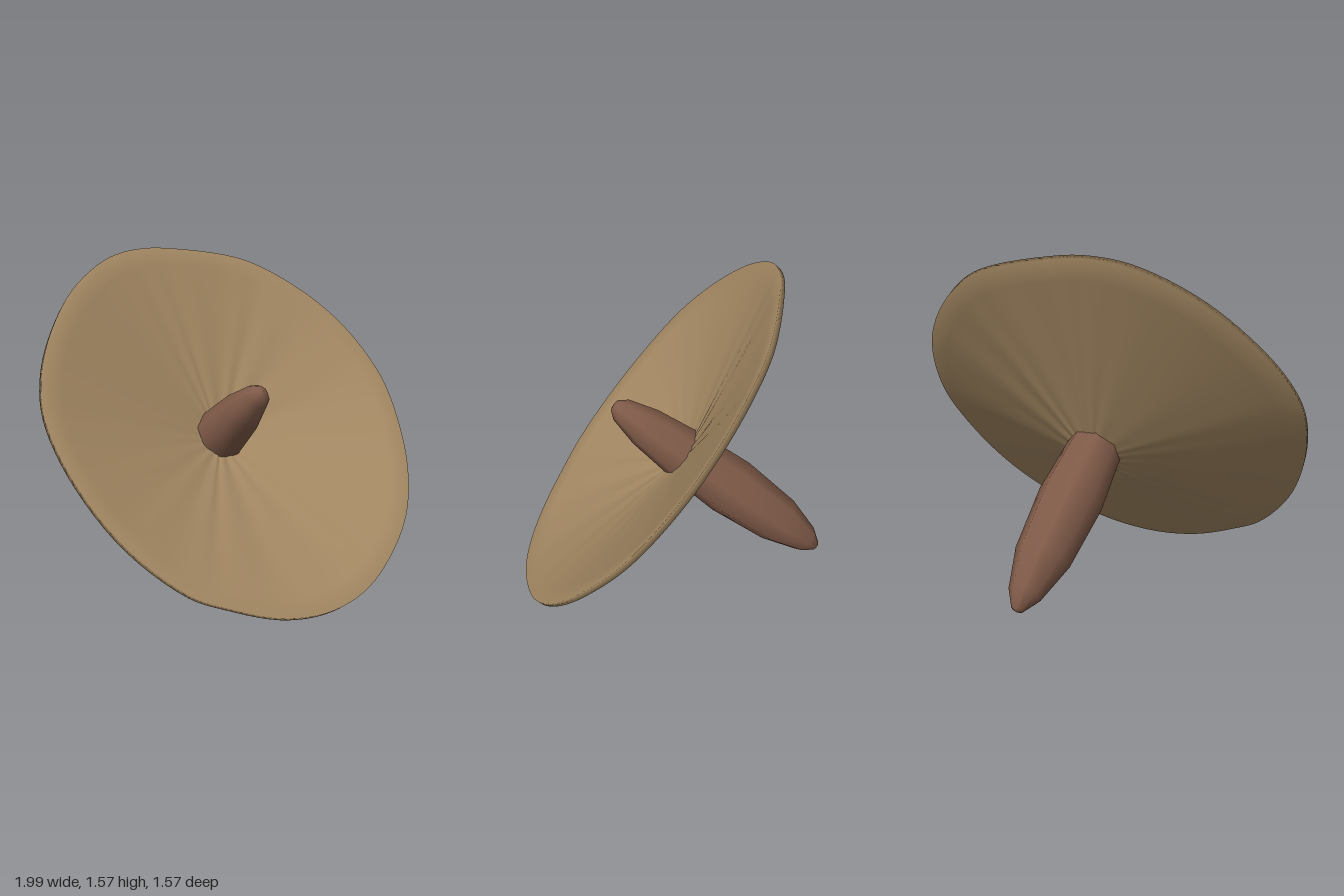
import * as THREE from 'three';

const tan = new THREE.MeshStandardMaterial({ color: 0xa68a64 });
tan.name = 'tan';
const brown = new THREE.MeshStandardMaterial({ color: 0x7f5a48 });
brown.name = 'brown';

// Uneven outline of the dish, clockwise from the top
const outline = new THREE.CatmullRomCurve3([
  [0, 1], [0.4, 0.93], [0.6, 0.816], [0.8, 0.623], [0.93, 0.405], [1, 0.1], [0.95, -0.21],
  [0.85, -0.46], [0.7, -0.67], [0.5, -0.83], [0.25, -0.957], [0, -1], [-0.25, -0.964],
  [-0.5, -0.85], [-0.65, -0.755], [-0.85, -0.495], [-0.97, -0.17], [-1, 0.11], [-0.96, 0.3],
  [-0.85, 0.52], [-0.65, 0.77], [-0.4, 0.945], [-0.2, 1],
].map(([x, v]) => new THREE.Vector3(x, 0, -v)), true);

// Thin shallow cone with faint radial pleats: rings run from front hub to rim to back hub
function dishGeometry(segments = 120) {
  const rings = [
    [0.09, -0.225], [0.25, -0.182], [0.55, -0.1], [0.9, -0.006], [0.997, 0.02],
    [0.997, -0.007], [0.9, -0.034], [0.55, -0.13], [0.25, -0.214], [0.09, -0.258],
  ];
  const positions = [], index = [];
  for (const [radius, height] of rings) {
    for (let j = 0; j < segments; j++) {
      const p = outline.getPoint(j / segments);
      const a = (j / segments) * Math.PI * 2;
      const pleat = Math.sin(19 * a + 2 * Math.sin(3 * a)) * (0.6 + 0.4 * Math.sin(2 * a + 1));
      const fade = radius < 0.9 ? 0.0028 : 0;
      positions.push(p.x * radius, height + pleat * fade, p.z * radius);
    }
  }
  for (let i = 0; i < rings.length - 1; i++) {
    for (let j = 0; j < segments; j++) {
      const k = (j + 1) % segments;
      const a = i * segments + j, b = i * segments + k;
      index.push(a, b, a + segments, b, b + segments, a + segments);
    }
  }
  const geometry = new THREE.BufferGeometry();
  geometry.setAttribute('position', new THREE.Float32BufferAttribute(positions, 3));
  geometry.setIndex(index);
  geometry.computeVertexNormals();
  return geometry;
}

// Eight-sided spindle, tapering to both ends
function spindleGeometry() {
  const profile = [
    [0, -1.162], [0.028, -1.15], [0.076, -1.074], [0.131, -0.878], [0.156, -0.55],
    [0.137, -0.25], [0.105, 0.01], [0.064, 0.16], [0.032, 0.2], [0, 0.208],
  ].map(([r, y]) => new THREE.Vector2(r, y));
  return new THREE.LatheGeometry(profile, 8, Math.PI / 8);
}

export function createModel() {
  const model = new THREE.Group();
  model.name = 'spinningTop';

  // Both parts share one axis leaning forward
  const body = new THREE.Group();
  body.name = 'tiltedBody';
  body.position.set(0, 0.785, 0.145);
  body.rotation.x = 0.892;
  model.add(body);

  const dish = new THREE.Mesh(dishGeometry(), tan);
  dish.name = 'dish';

  const spindle = new THREE.Mesh(spindleGeometry(), brown);
  spindle.name = 'spindle';
  spindle.position.set(-0.005, 0, -0.022);

  body.add(dish, spindle);
  return model;
}
